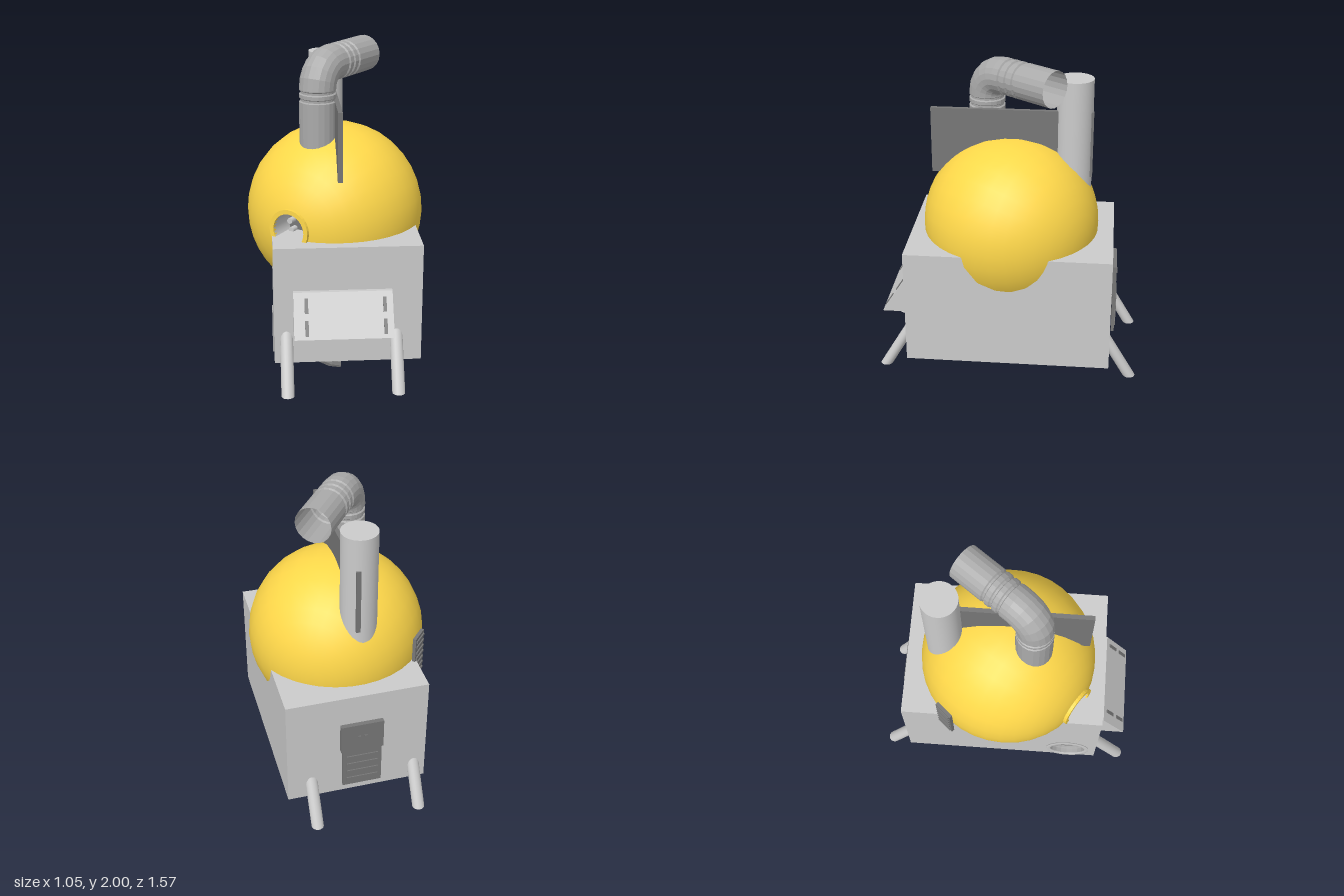
import * as THREE from 'three';

const mat = (color, extra = {}) => new THREE.MeshStandardMaterial({ color, ...extra });
const grey = mat(0xcccccc);
const yellow = mat(0xffd84a);
const dark = mat(0x777777);
const pipeMat = mat(0xaaaaaa, { flatShading: true, side: THREE.DoubleSide });
const openGrey = mat(0xcccccc, { side: THREE.DoubleSide });

const UP = new THREE.Vector3(0, 1, 0);
const SPHERE_Y = 1, SPHERE_R = 0.526;

function add(parent, name, geometry, material, x = 0, y = 0, z = 0) {
  const mesh = new THREE.Mesh(geometry, material);
  mesh.name = name;
  mesh.position.set(x, y, z);
  parent.add(mesh);
  return mesh;
}

function subgroup(parent, name, x = 0, y = 0, z = 0) {
  const g = new THREE.Group();
  g.name = name;
  g.position.set(x, y, z);
  parent.add(g);
  return g;
}

// Open straight pipe along +y with narrow grooves at the given heights
function groovedPipe(y0, y1, r, grooves) {
  const pts = [new THREE.Vector2(r, y0)];
  for (const g of grooves) {
    pts.push(new THREE.Vector2(r, g - 0.012), new THREE.Vector2(r * 0.92, g - 0.006),
      new THREE.Vector2(r * 0.92, g + 0.006), new THREE.Vector2(r, g + 0.012));
  }
  pts.push(new THREE.Vector2(r, y1));
  return new THREE.LatheGeometry(pts, 20);
}

// Quarter bend that starts upward at the origin and ends heading to -x
function elbow(bend, r) {
  return new THREE.TorusGeometry(bend, r, 20, 5, Math.PI / 2).translate(-bend, 0, 0);
}

// Flat ring with thickness, facing +y
function flange(outer, inner, h) {
  const p = [[inner, 0], [outer, 0], [outer, h], [inner, h], [inner, 0]];
  return new THREE.LatheGeometry(p.map(([x, y]) => new THREE.Vector2(x, y)), 32);
}

export function createModel() {
  const model = new THREE.Group();
  model.name = 'boilerMachine';

  // Housing: solid block plus a side wall pierced by the round inlet
  const wall = 0.2, x0 = -0.385, x1 = 0.46, z0 = -0.62, z1 = 0.59, y0 = 0.26, y1 = 0.96;
  const inletY = 0.395, inletZ = 0.41;
  const housing = subgroup(model, 'housing');
  add(housing, 'housingBlock', new THREE.BoxGeometry(x1 - x0 - wall, y1 - y0, z1 - z0), grey,
    (x0 + wall + x1) / 2, (y0 + y1) / 2, (z0 + z1) / 2);
  const side = new THREE.Shape();
  side.moveTo(-z1, y0).lineTo(-z0, y0).lineTo(-z0, y1).lineTo(-z1, y1).closePath();
  side.holes.push(new THREE.Path().absarc(-inletZ, inletY, 0.118, 0, Math.PI * 2, true));
  const sideGeo = new THREE.ExtrudeGeometry(side, { depth: wall, bevelEnabled: false, curveSegments: 24 });
  sideGeo.rotateY(Math.PI / 2);
  add(housing, 'sideWall', sideGeo, grey, x0);

  // Round side inlet with inner ribs
  const inlet = subgroup(model, 'sideInlet', x0, inletY, inletZ);
  inlet.rotation.z = Math.PI / 2;
  add(inlet, 'inletRim', flange(0.136, 0.112, 0.008), openGrey);
  add(inlet, 'inletLiner', groovedPipe(-wall, 0, 0.115, [-0.14, -0.09, -0.04]), pipeMat);

  // Spherical tank, opened at its pole where the viewport sits
  const portDir = new THREE.Vector3(-0.555, 0.015, 0.83).normalize();
  const portHole = 0.1;
  const tank = add(model, 'tank', new THREE.SphereGeometry(SPHERE_R, 32, 18, 0, Math.PI * 2,
    Math.asin(portHole / SPHERE_R), Math.PI - Math.asin(portHole / SPHERE_R)), yellow, 0, SPHERE_Y, 0);
  tank.quaternion.setFromUnitVectors(UP, portDir);

  // Viewport: yellow rim, recessed barrel and a ring of nozzles
  const port = subgroup(model, 'viewport', 0, SPHERE_Y, 0);
  port.quaternion.copy(tank.quaternion);
  add(port, 'viewportRim', flange(0.126, portHole, 0.026),
    mat(0xffd84a, { side: THREE.DoubleSide, flatShading: true }), 0, 0.502, 0);
  add(port, 'viewportBarrel', new THREE.CylinderGeometry(portHole, portHole, 0.17, 28, 1, true), openGrey, 0, 0.435, 0);
  add(port, 'viewportBack', new THREE.CylinderGeometry(portHole, portHole, 0.01, 28), dark, 0, 0.355, 0);
  for (let i = 0; i < 8; i++) {
    const a = i * Math.PI / 4;
    add(port, 'nozzle', new THREE.CylinderGeometry(0.017, 0.017, 0.05, 12), grey,
      0.07 * Math.cos(a), 0.38, 0.07 * Math.sin(a));
  }

  // Louvred vent on the rear of the tank
  const vent = subgroup(model, 'tankVent', -0.405, 0.975, -0.35);
  vent.rotation.y = Math.atan2(-0.75, -0.66);
  add(vent, 'ventPlate', new THREE.BoxGeometry(0.12, 0.29, 0.02), dark);
  for (let i = 0; i < 7; i++) {
    add(vent, 'ventLouvre', new THREE.BoxGeometry(0.1, 0.014, 0.012), dark, 0, -0.12 + i * 0.04, 0.012);
  }

  // Upright fin through the tank
  add(model, 'fin', new THREE.BoxGeometry(0.026, 0.4, 0.953), dark, 0, 1.5, -0.002);

  // Chimney
  add(model, 'chimney', new THREE.CylinderGeometry(0.106, 0.106, 0.75, 32), grey, -0.032, 1.515, -0.368);

  // Upper exhaust pipe: riser, bend and horizontal run
  const bend = 0.125, r = 0.107, riseTop = 1.893 - bend;
  const exhaust = subgroup(model, 'exhaustPipe', -0.108, 0, 0.152);
  exhaust.rotation.y = Math.atan2(-0.804, -0.595);
  add(exhaust, 'exhaustRiser', groovedPipe(1.38, riseTop, r, [1.705, 1.75]), pipeMat);
  add(exhaust, 'exhaustBend', elbow(bend, r), pipeMat, 0, riseTop, 0);
  const run = add(exhaust, 'exhaustRun', groovedPipe(bend, 0.513, r, [0.18, 0.232, 0.285]), pipeMat, 0, 1.893, 0);
  run.rotation.z = Math.PI / 2;

  // Lower drain pipe, bending toward +x
  const drain = subgroup(model, 'drainPipe', -0.1, 0.235, 0.145);
  drain.rotation.z = Math.PI;
  add(drain, 'drainNeck', groovedPipe(-0.06, 0, 0.112, [-0.015]), pipeMat);
  add(drain, 'drainBend', elbow(0.122, 0.112), pipeMat);

  // Splayed legs: sheared cylinders so the feet stay level
  for (const sx of [-1, 1]) {
    for (const sz of [-1, 1]) {
      const leg = new THREE.CylinderGeometry(0.037, 0.037, 0.41, 20);
      leg.applyMatrix4(new THREE.Matrix4().makeShear(0, 0, 0, -sz * 0.59, 0, 0));
      add(model, sz > 0 ? 'frontLeg' : 'backLeg', leg, grey, sx * 0.315, 0.335, sz * 0.625);
    }
  }

  // Front hatch wedge with slotted handles
  const wedge = new THREE.Shape();
  wedge.moveTo(-0.57, 0.48).lineTo(-0.57, 0.705).lineTo(-0.615, 0.705).lineTo(-0.76, 0.48).closePath();
  const wedgeGeo = new THREE.ExtrudeGeometry(wedge, { depth: 0.56, bevelEnabled: false });
  wedgeGeo.rotateY(Math.PI / 2);
  const hatch = subgroup(model, 'frontHatch');
  add(hatch, 'hatchBody', wedgeGeo, grey, -0.275);
  for (const x of [-0.203, 0.238]) {
    for (const y of [0.64, 0.535]) {
      const slot = add(hatch, 'hatchSlot', new THREE.BoxGeometry(0.02, 0.085, 0.01), dark,
        x, y, 0.76 - (y - 0.48) * 0.644);
      slot.rotation.x = -Math.atan(0.644);
    }
  }

  // Rear control panel with knobs and louvres
  const panel = subgroup(model, 'rearPanel', 0.015, 0, 0);
  add(panel, 'panelHead', new THREE.BoxGeometry(0.255, 0.19, 0.03), dark, 0, 0.675, -0.633);
  add(panel, 'panelPlate', new THREE.BoxGeometry(0.235, 0.44, 0.018), dark, 0, 0.54, -0.638);
  for (let i = 0; i < 4; i++) {
    add(panel, 'panelLouvre', new THREE.BoxGeometry(0.19, 0.028, 0.016), dark, 0, 0.365 + i * 0.055, -0.646);
  }
  for (const x of [-0.02, 0.02]) {
    add(panel, 'panelKnob', new THREE.BoxGeometry(0.018, 0.012, 0.014), dark, x, 0.685, -0.648);
  }

  return model;
}
